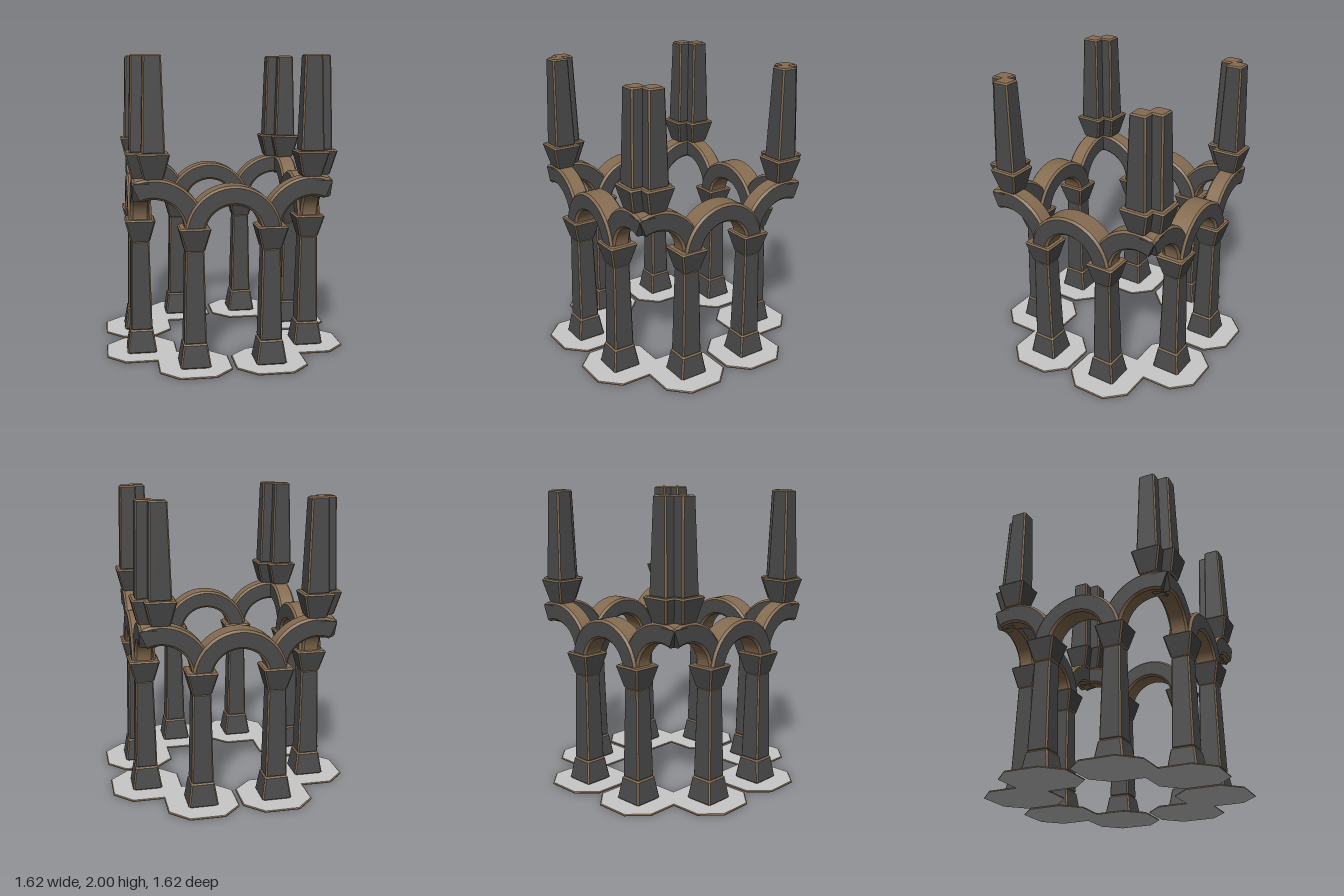
import * as THREE from 'three';
import { mergeGeometries } from 'three/addons/utils/BufferGeometryUtils.js';

const stone = new THREE.MeshStandardMaterial({ color: 0x4a4a4a });
stone.name = 'dark stone';
const trim = new THREE.MeshStandardMaterial({ color: 0x846b50 });
trim.name = 'brown trim';
const paving = new THREE.MeshStandardMaterial({ color: 0xc8c8c8 });
paving.name = 'pale paving';

// Square with cut corners; even sides are the long ones.
function loop(y, h, cut) {
  const k = h - cut;
  return [[h, -k], [h, k], [k, h], [-k, h], [-h, k], [-h, -k], [-k, -h], [k, -h]]
    .map(([x, z]) => [x, y, z]);
}

// Stack of cut-cornered squares; rings are [y, half width, corner cut].
function loft(name, rings, sideMaterial, capMaterial) {
  const faces = new Map();
  const add = (material, ...corners) => {
    if (!faces.has(material)) faces.set(material, []);
    for (const c of corners) faces.get(material).push(...c);
  };
  const loops = rings.map((r) => loop(...r));
  for (let l = 0; l < loops.length - 1; l++) {
    const a = loops[l], b = loops[l + 1];
    for (let i = 0; i < 8; i++) {
      const j = (i + 1) % 8;
      add(sideMaterial(l, i), a[j], a[i], b[i], a[j], b[i], b[j]);
    }
  }
  const bottom = loops[0], top = loops[loops.length - 1];
  for (let i = 1; i < 7; i++) {
    add(capMaterial, bottom[0], bottom[i], bottom[i + 1]);
    add(capMaterial, top[0], top[i + 1], top[i]);
  }
  const group = new THREE.Group();
  group.name = name;
  for (const [material, points] of faces) {
    const geometry = new THREE.BufferGeometry();
    geometry.setAttribute('position', new THREE.Float32BufferAttribute(points, 3));
    geometry.computeVertexNormals();
    const mesh = new THREE.Mesh(geometry, material);
    mesh.name = `${name} ${material.name}`;
    group.add(mesh);
  }
  return group;
}

// Tapered block with dark faces and brown chamfered edges.
function block(name, y0, y1, h0, h1, c = 0.009) {
  return loft(name,
    [[y0, h0 - c, c], [y0 + c, h0, c], [y1 - c, h1, c], [y1, h1 - c, c]],
    (level, side) => (level === 1 && side % 2 === 0 ? stone : trim), trim);
}

// Chamfered ring segment in the XY plane; angles run clockwise from straight up.
function arch(name, inner, outer, w, from, to) {
  const c = 0.014;
  const profile = [[outer, c - w], [outer, w - c], [outer - c, w], [inner + c, w],
    [inner, w - c], [inner, c - w], [inner + c, -w], [outer - c, -w]]
    .map(([r, h]) => new THREE.Vector2(r, h));
  const dark = [], brown = [];
  profile.forEach((p, i) => {
    const strip = new THREE.LatheGeometry([p, profile[(i + 1) % 8]], 28, from, to - from);
    strip.rotateX(-Math.PI / 2);
    (i === 2 || i === 6 ? dark : brown).push(strip);
  });
  // flat ends
  for (const [angle, flip] of [[from, false], [to, true]]) {
    const cap = new THREE.ShapeGeometry(new THREE.Shape(profile));
    if (flip) {
      const index = cap.index.array;
      for (let i = 0; i < index.length; i += 3) [index[i], index[i + 1]] = [index[i + 1], index[i]];
    }
    const axis = new THREE.Matrix4().makeBasis(
      new THREE.Vector3(Math.sin(angle), Math.cos(angle), 0),
      new THREE.Vector3(0, 0, -1),
      new THREE.Vector3(-Math.cos(angle), Math.sin(angle), 0));
    cap.applyMatrix4(axis);
    cap.computeVertexNormals();
    dark.push(cap);
  }
  const group = new THREE.Group();
  group.name = name;
  for (const [list, material] of [[dark, stone], [brown, trim]]) {
    const mesh = new THREE.Mesh(mergeGeometries(list), material);
    mesh.name = `${name} ${material.name}`;
    group.add(mesh);
  }
  return group;
}

const place = (object, x, y, z) => {
  object.position.set(x, y, z);
  return object;
};

// One side of the square arcade, at z = 0.575.
function arcadeSide() {
  const side = new THREE.Group();
  side.name = 'arcadeSide';
  const z = 0.575;
  const quarter = Math.PI / 2, over = 0.4;

  side.add(place(arch('middleArch', 0.185, 0.31, 0.078, -quarter, quarter), 0, 0.88, z));

  for (const s of [-1, 1]) {
    // paving slab and column
    const column = new THREE.Group();
    column.name = 'column';
    column.add(
      loft('pavingSlab', [[0, 0.236, 0.12], [0.005, 0.236, 0.12], [0.01, 0.23, 0.118]],
        () => trim, paving),
      block('columnBase', 0.01, 0.168, 0.1, 0.078),
      block('columnShaft', 0.165, 0.778, 0.072, 0.06),
      block('columnCapital', 0.772, 0.926, 0.065, 0.1));
    side.add(place(column, s * 0.248, 0, z));

    // half arch running past its crown at the corner
    const [from, to] = s > 0 ? [-quarter, over] : [-over, quarter];
    side.add(place(arch('cornerArch', 0.2, 0.33, 0.061, from, to), s * 0.51, 0.91, z));

    // one half of the corner tower, overlapping the half from the next side
    const tower = new THREE.Group();
    tower.name = 'cornerTower';
    tower.add(
      block('towerCapital', 1.235, 1.4, 0.064, 0.1),
      block('towerShaft', 1.395, 2, 0.073, 0.056));
    side.add(place(tower, s * 0.503, 0, z));
  }
  return side;
}

export function createModel() {
  const model = new THREE.Group();
  model.name = 'arcade';
  for (let i = 0; i < 4; i++) {
    const side = arcadeSide();
    side.rotation.y = i * Math.PI / 2;
    model.add(side);
  }
  return model;
}
